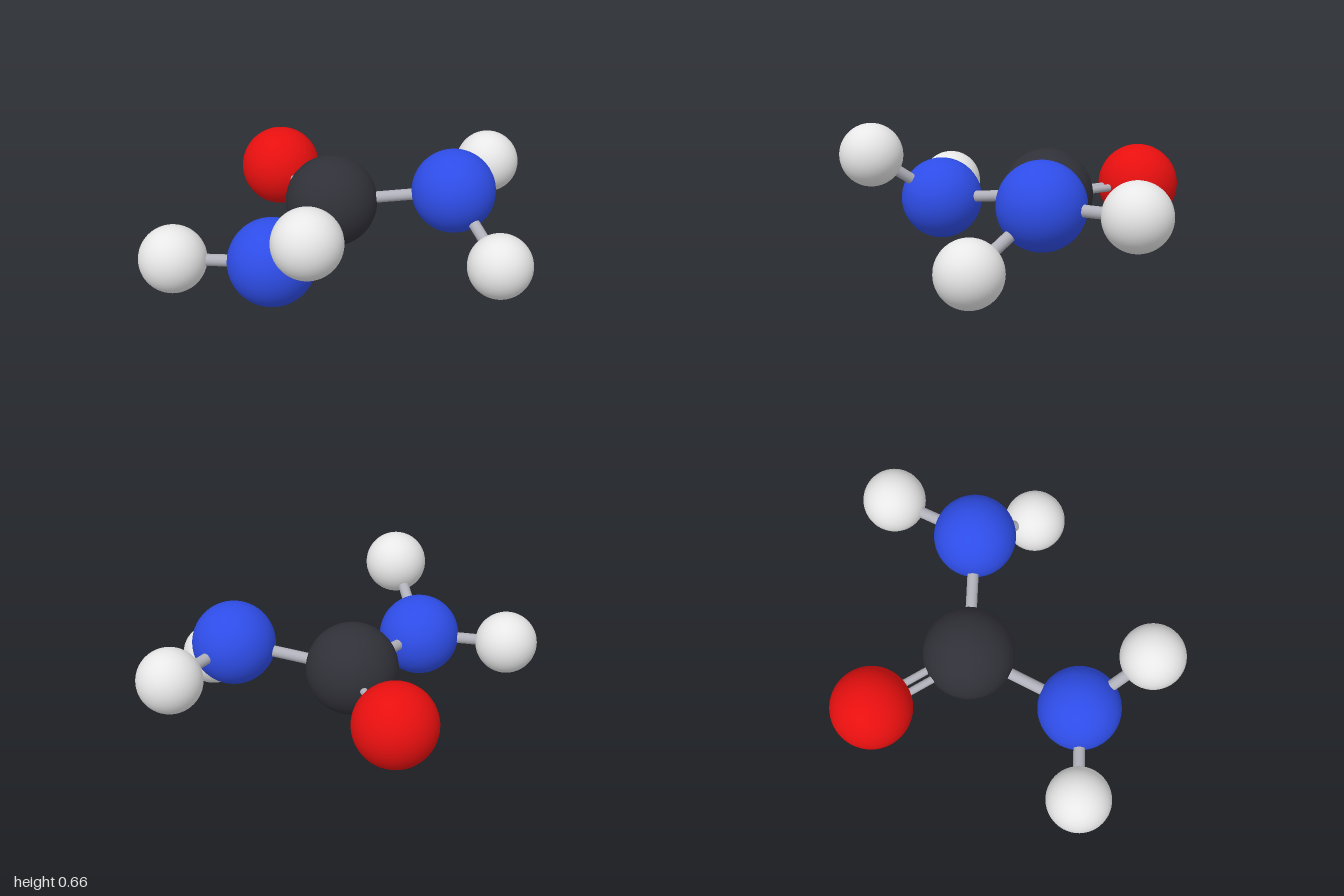
import * as THREE from 'three';

const material = (name, color) => {
  const m = new THREE.MeshStandardMaterial({ color });
  m.name = name;
  return m;
};

export function createModel() {
  const group = new THREE.Group();
  const charcoal = material('charcoal', 0x303038);
  const blue = material('blue', 0x3050f0);
  const red = material('red', 0xf01010);
  const white = material('white', 0xf0f0f0);
  const grey = material('grey', 0xb0b0ba);

  const atom = (name, mat, radius, x, y, z) => {
    const mesh = new THREE.Mesh(new THREE.SphereGeometry(radius, 48, 32), mat);
    mesh.name = name;
    mesh.position.set(x, y, z);
    group.add(mesh);
    return mesh.position;
  };

  // Rod between two atom centres, optionally shifted sideways in x
  const bond = (name, a, b, radius = 0.027, shift = 0) => {
    const dir = b.clone().sub(a);
    const mesh = new THREE.Mesh(new THREE.CylinderGeometry(radius, radius, dir.length(), 24), grey);
    mesh.name = name;
    mesh.position.copy(a).add(b).multiplyScalar(0.5);
    mesh.position.x += shift;
    mesh.quaternion.setFromUnitVectors(new THREE.Vector3(0, 1, 0), dir.normalize());
    group.add(mesh);
  };

  // Central axis with its double bond
  const midY = 0.33;
  const carbon = atom('carbonAtom', charcoal, 0.218, 0, midY, -0.06);
  const oxygen = atom('oxygenAtom', red, 0.194, 0, midY, -0.586);
  for (const s of [-1, 1]) bond('doubleBondRod', carbon, oxygen, 0.018, s * 0.025);

  // Two arms, related by a half turn about the z axis
  for (const [side, s] of [['left', 1], ['right', -1]]) {
    const place = (name, mat, r, x, dy, z) => atom(side + name, mat, r, s * x, midY + s * dy, z);
    const nitrogen = place('NitrogenAtom', blue, 0.198, 0.48, 0.068, 0.258);
    const outer = place('OuterHydrogenAtom', white, 0.152, 0.848, 0.064, 0.02);
    const front = place('FrontHydrogenAtom', white, 0.152, 0.498, -0.176, 0.62);
    bond(side + 'ArmBond', carbon, nitrogen);
    bond(side + 'OuterBond', nitrogen, outer);
    bond(side + 'FrontBond', nitrogen, front);
  }
  return group;
}
